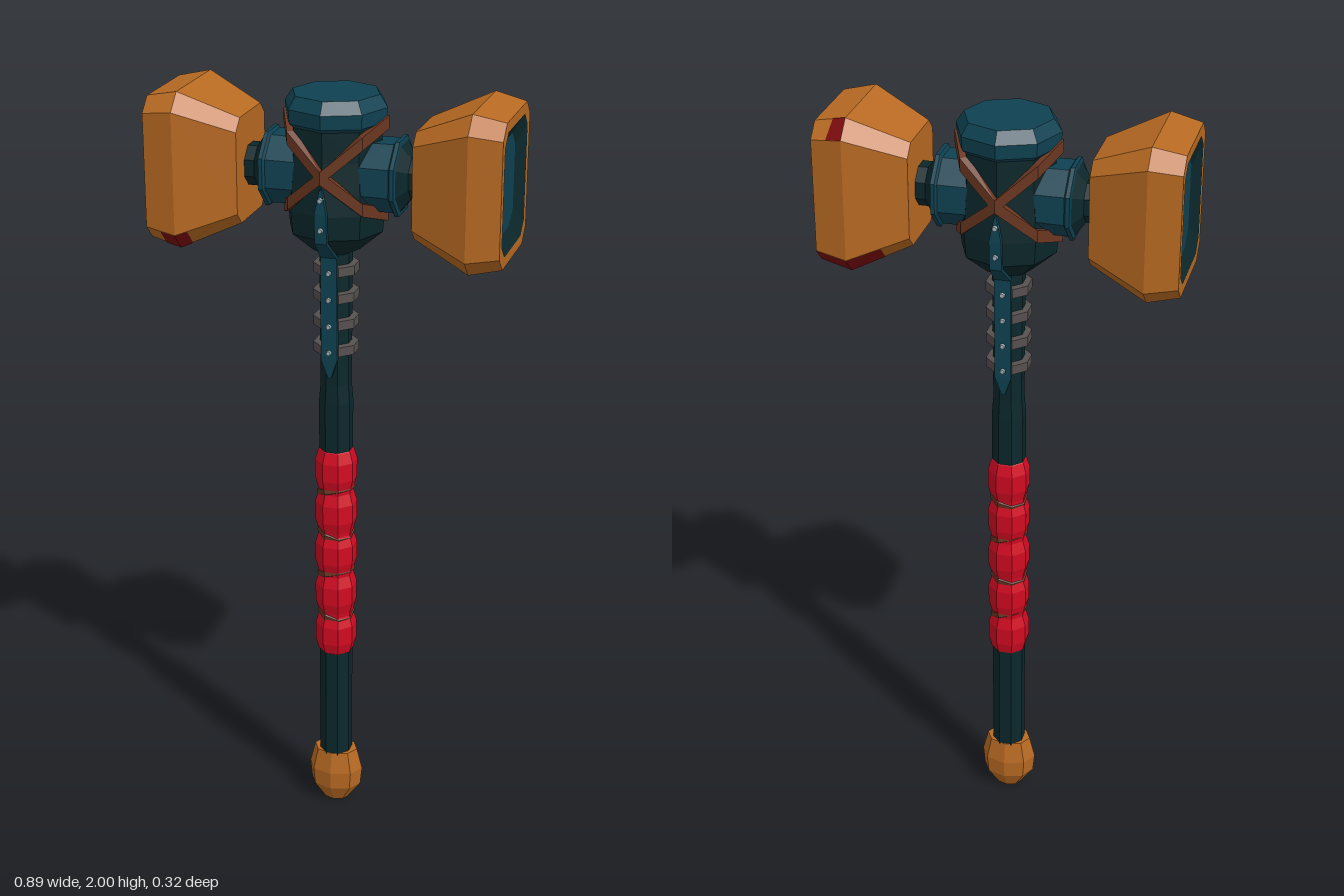
import * as THREE from 'three';

const mat = (name, color) => {
  const m = new THREE.MeshStandardMaterial({ color });
  m.name = name;
  return m;
};
const V = (x, y, z) => new THREE.Vector3(x, y, z);

// Flat-shaded skin over matching rings; rings run anticlockwise around the direction of travel
function loft(rings, capStart = false, capEnd = false) {
  const pos = [];
  const tri = (...pts) => pts.forEach((p) => pos.push(p.x, p.y, p.z));
  const n = rings[0].length;
  for (let r = 0; r < rings.length - 1; r++) {
    for (let i = 0; i < n; i++) {
      const j = (i + 1) % n, p = rings[r], q = rings[r + 1];
      tri(p[i], p[j], q[j]);
      tri(p[i], q[j], q[i]);
    }
  }
  const first = rings[0], last = rings[rings.length - 1];
  for (let i = 1; i < n - 1; i++) {
    if (capStart) tri(first[0], first[i + 1], first[i]);
    if (capEnd) tri(last[0], last[i], last[i + 1]);
  }
  const g = new THREE.BufferGeometry();
  g.setAttribute('position', new THREE.Float32BufferAttribute(pos, 3));
  g.computeVertexNormals();
  return g;
}

// Eight-sided turned solid from [radius, height] pairs, bottom to top
function turned(profile, phi = 0) {
  const g = new THREE.LatheGeometry(profile.map(([r, y]) => new THREE.Vector2(r, y)), 8, phi).toNonIndexed();
  g.computeVertexNormals();
  return g;
}

// Rectangle with cut corners, across the x axis
const headRing = (x, h, d, c) => [
  [h, -d + c], [h, d - c], [h - c, d], [-h + c, d],
  [-h, d - c], [-h, -d + c], [-h + c, -d], [h - c, -d],
].map(([y, z]) => V(x, y, z));

export function createModel() {
  const root = new THREE.Group();
  root.name = 'warHammer';
  const orange = mat('orange metal', 0xb86a22);
  const dark = mat('dark teal', 0x0b272b);
  const teal = mat('teal', 0x0f4252);
  const red = mat('red wrap', 0xd20a22);
  const brown = mat('brown leather', 0x6a3620);
  const grey = mat('grey band', 0x55504e);
  const silver = mat('silver rivet', 0x9fb0b8);
  const stain = mat('dark red stain', 0x7c0a0c);
  const add = (parent, name, geo, material) => {
    const m = new THREE.Mesh(geo, material);
    m.name = name;
    parent.add(m);
    return m;
  };

  // Handle
  add(root, 'shaft', turned([[0.044, 0.13], [0.044, 1.2], [0.04, 1.25], [0.042, 1.64]], Math.PI / 8), dark);
  const pommel = add(root, 'pommel', turned([[0, 0], [0.034, 0], [0.07, 0.05], [0.075, 0.1], [0.06, 0.16], [0, 0.16]]), orange);
  pommel.scale.z = 0.74;

  // Grip with five swollen turns of cloth and leather showing in the grooves
  const grip = [[0.04, 0.47]];
  for (let i = 0; i < 5; i++) {
    const y = 0.47 + i * 0.12;
    grip.push([0.047, y + 0.005], [0.055, y + 0.035], [0.055, y + 0.085], [0.046, y + 0.115]);
  }
  grip.push([0.04, 1.07]);
  add(root, 'gripWrap', turned(grip, Math.PI / 8), red);
  for (let i = 1; i < 5; i++) {
    const band = add(root, 'gripLeather', turned([[0.044, -0.009], [0.05, -0.007], [0.05, 0.007], [0.044, 0.009]], Math.PI / 8), brown);
    band.position.y = 0.47 + i * 0.12;
    band.rotation.set(i % 2 ? 0.25 : -0.2, 0, i % 2 ? -0.3 : 0.25);
  }

  // Grey bands below the head
  for (const y of [1.35, 1.42, 1.49, 1.56]) {
    const band = add(root, 'neckBand', turned([[0.04, -0.014], [0.058, -0.012], [0.058, 0.012], [0.04, 0.014]], Math.PI / 8), grey);
    band.position.y = y;
  }

  // Central body and cap
  add(root, 'body', turned([[0.04, 1.6], [0.062, 1.61], [0.12, 1.66], [0.125, 1.72], [0.116, 1.85], [0.116, 1.93]]), dark);
  add(root, 'cap', turned([[0.11, 1.92], [0.127, 1.935], [0.13, 1.97], [0.11, 2], [0, 2]]), teal);

  // Two tilted leather loops crossing at front and back
  for (const tilt of [1, -1]) {
    const rings = [];
    for (let i = 0; i <= 8; i++) {
      const a = (i * Math.PI) / 4, y = 1.82 + tilt * 0.115 * Math.sin(a);
      rings.push([[0.11, 0.016], [0.134, 0.016], [0.134, -0.016], [0.11, -0.016]]
        .map(([r, dy]) => V(r * Math.sin(a), y + dy, r * Math.cos(a))));
    }
    add(root, 'crossStrap', loft(rings), brown);
  }

  // Riveted strips, front and back
  const stripPath = [
    [1.28, 0.052, 0.004], [1.33, 0.056, 0.021], [1.6, 0.058, 0.021],
    [1.655, 0.122, 0.015], [1.73, 0.127, 0.015], [1.79, 0.123, 0.003],
  ];
  const stripGeo = loft(stripPath.map(([y, z, w]) =>
    [[-1, -1], [1, -1], [1, 1], [-1, 1]].map(([t, s]) => V(s * w, y, z + t * 0.006))), true, true);
  const rivetGeo = new THREE.CylinderGeometry(0.006, 0.009, 0.012, 6).rotateX(Math.PI / 2);
  for (const turn of [0, Math.PI]) {
    const side = new THREE.Group();
    side.name = turn ? 'backStrip' : 'frontStrip';
    side.rotation.y = turn;
    root.add(side);
    add(side, 'strip', stripGeo, teal);
    for (const [y, z] of [[1.35, 0.062], [1.42, 0.063], [1.49, 0.063], [1.56, 0.064], [1.69, 0.131], [1.765, 0.131]]) {
      add(side, 'rivet', rivetGeo, silver).position.set(0, y, z);
    }
  }

  // Arms and striking heads
  const back = headRing(0.22, 0.132, 0.106, 0.03);
  const wide = headRing(0.365, 0.195, 0.16, 0.042);
  const rim = headRing(0.445, 0.178, 0.144, 0.036);
  const lip = headRing(0.445, 0.152, 0.12, 0.032);
  const floor = headRing(0.425, 0.115, 0.08, 0.035);
  const shellGeo = loft([back, wide, rim, lip], true);
  const armGeo = turned([[0.09, 0.05], [0.092, 0.155], [0.1, 0.16], [0.1, 0.17], [0.088, 0.172]], Math.PI / 8).rotateZ(-Math.PI / 2);
  const neckGeo = turned([[0.088, 0.172], [0.054, 0.195], [0.054, 0.225]], Math.PI / 8).rotateZ(-Math.PI / 2);

  // Thin stain on a cut corner between two rings (a, b: start and end of its length; i: corner index)
  const stainGeo = (p, q, i, a, b) => {
    const at = (k, t) => {
      const v = p[k].clone().lerp(q[k], t);
      v.y *= 1.006;
      v.z *= 1.006;
      return v;
    };
    const corners = [at(i, a), at(i + 1, a), at(i + 1, b), at(i, a), at(i + 1, b), at(i, b)];
    const g = new THREE.BufferGeometry().setFromPoints(corners);
    g.computeVertexNormals();
    return g;
  };

  for (const turn of [0, Math.PI]) {
    const side = new THREE.Group();
    side.name = turn ? 'rightHead' : 'leftHead';
    side.position.y = 1.805;
    side.rotation.y = turn;
    root.add(side);
    add(side, 'arm', armGeo, teal);
    add(side, 'armNeck', neckGeo, dark);
    add(side, 'headShell', shellGeo, orange);
    add(side, 'faceBevel', loft([lip, floor]), dark);
    add(side, 'facePanel', loft([floor], false, true), teal);
    add(side, 'lowerStain', stainGeo(wide, rim, 5, 0, turn ? 0.5 : 1), stain);
    add(side, 'lowerStain', stainGeo(back, wide, 5, turn ? 0.8 : 0.45, 1), stain);
    if (!turn) add(side, 'upperStain', stainGeo(wide, rim, 7 - 1, 0, 0), stain).visible = false;
  }

  // Small stain on the upper back corner of the left head
  const p = wide, q = rim;
  const spot = new THREE.BufferGeometry().setFromPoints([
    p[7], p[0], q[0].clone().lerp(p[0], 0.6), p[7], q[0].clone().lerp(p[0], 0.6), q[7].clone().lerp(p[7], 0.5),
  ].map((v) => V(v.x, v.y * 1.006, v.z * 1.006)));
  spot.computeVertexNormals();
  add(root, 'upperStain', spot, stain).position.y = 1.805;

  return root;
}
